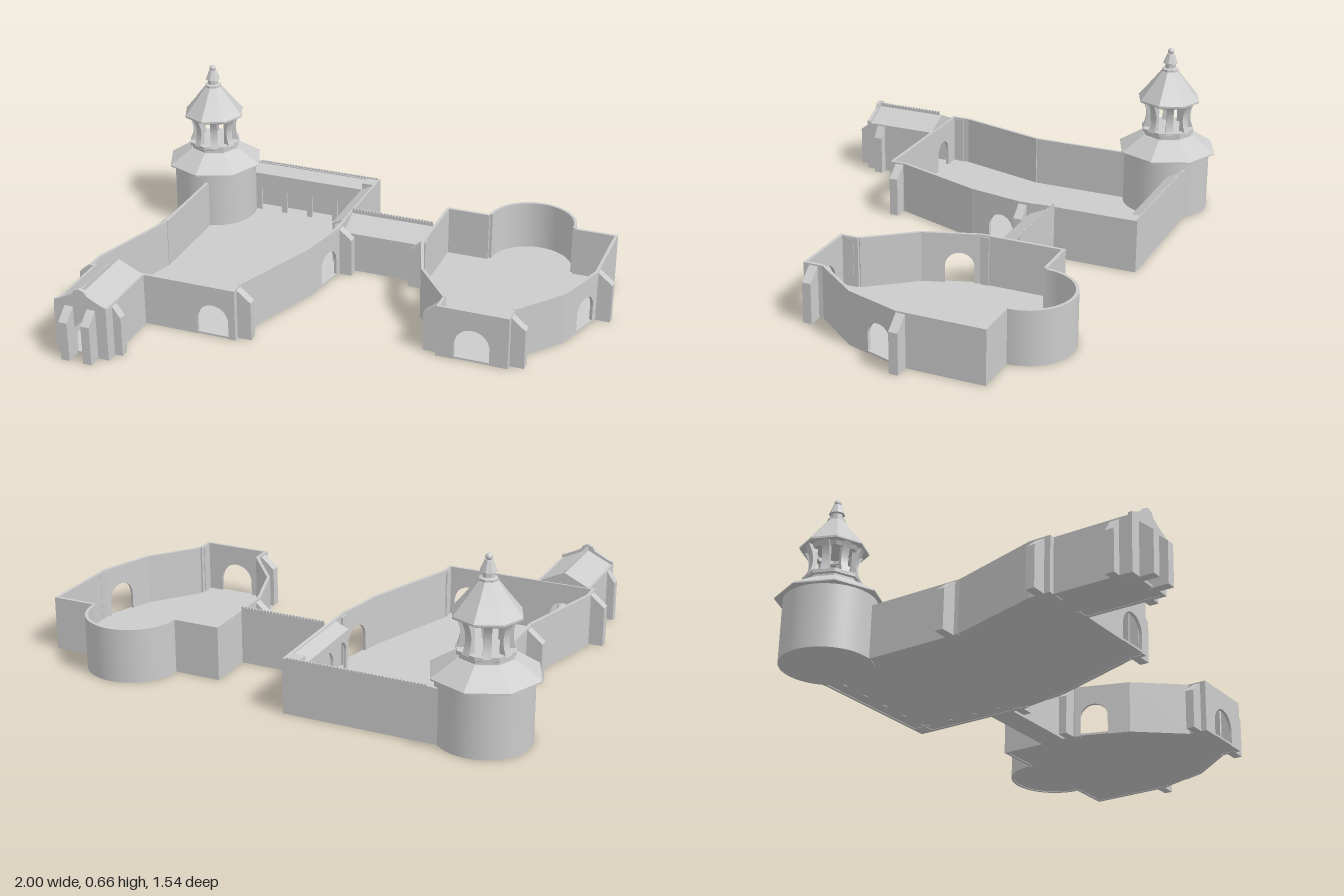
import * as THREE from 'three';
import { toCreasedNormals } from 'three/addons/utils/BufferGeometryUtils.js';

const mat = new THREE.MeshStandardMaterial({ color: 0xcccccc, side: THREE.DoubleSide });
const flat = new THREE.MeshStandardMaterial({ color: 0xcccccc, side: THREE.DoubleSide, flatShading: true });
const H = 0.206, T = 0.012;

function add(parent, name, geo, m = mat) {
  const mesh = new THREE.Mesh(geo, m);
  mesh.name = name;
  parent.add(mesh);
  return mesh;
}
const shapeOf = pts => new THREE.Shape(pts.map(p => new THREE.Vector2(p[0], p[1])));
const extrude = (shape, depth) =>
  new THREE.ExtrudeGeometry(shape, { depth, bevelEnabled: false, curveSegments: 14 });

// Wall from p to q (x, z), thickness to the inner side, arches as [distance, width, height]
function wall(parent, name, p, q, arches = [], h = H, t = T) {
  const dx = q[0] - p[0], dz = q[1] - p[1], L = Math.hypot(dx, dz);
  const s = new THREE.Shape();
  s.moveTo(0, 0);
  for (const [c, w, top] of arches) {
    const r = w / 2;
    s.lineTo(c - r, 0);
    s.lineTo(c - r, top - r);
    s.absarc(c, top - r, r, Math.PI, 0, true);
    s.lineTo(c + r, 0);
  }
  s.lineTo(L, 0);
  s.lineTo(L, h);
  s.lineTo(0, h);
  const m = add(parent, name, extrude(s, t));
  m.position.set(p[0], 0, p[1]);
  m.rotation.y = Math.atan2(-dz, dx);
}

// Horizontal slab from an outline in (x, z)
function slab(parent, name, outline, y, h) {
  const g = extrude(shapeOf(outline.map(([x, z]) => [x, -z])), h);
  add(parent, name, g.rotateX(-Math.PI / 2)).position.y = y;
}

// Buttress with a sloping top, standing out from (x, z) along the angle a
function buttress(parent, x, z, a, d = 0.055) {
  const g = extrude(shapeOf([[-0.015, 0], [d, 0], [d, 0.155], [0, 0.2], [-0.015, 0.2]]), 0.034);
  const m = add(parent, 'buttress', g.translate(0, 0, -0.017));
  m.position.set(x, 0, z);
  m.rotation.y = a;
}

// Toothed ridge crest running along local x
function crest(parent, x, y, z, length, rot, h = 0.016) {
  const n = Math.round(length / 0.013), step = length / n;
  const s = new THREE.Shape();
  s.moveTo(0, 0);
  for (let i = 0; i < n; i++) {
    s.lineTo(i * step, h * 0.5);
    s.lineTo((i + 0.25) * step, h);
    s.lineTo((i + 0.75) * step, h);
    s.lineTo((i + 1) * step, h * 0.5);
  }
  s.lineTo(length, 0);
  const m = add(parent, 'ridgeCrest', extrude(s, 0.006).translate(0, 0, -0.003));
  m.position.set(x, y, z);
  m.rotation.y = rot;
}

// Closed ring of walls; arches and gaps are keyed by segment index
function enclosure(parent, outline, arches, skip = []) {
  outline.forEach((p, i) => {
    if (!skip.includes(i)) wall(parent, 'wall', p, outline[(i + 1) % outline.length], arches[i]);
  });
  slab(parent, 'floor', outline, 0.002, 0.008);
}

function buildWestHall() {
  const g = new THREE.Group();
  g.name = 'westHall';
  enclosure(g, [[-0.77, -0.69], [-0.1, -0.69], [-0.1, -0.21], [-0.14, 0], [-0.27, 0.36],
    [-0.27, 0.42], [-0.87, 0.42], [-0.87, 0.34], [-0.77, -0.02]],
  { 2: [[0.077, 0.11, 0.13]], 5: [[0.09, 0.125, 0.13], [0.475, 0.1, 0.13]] });
  buttress(g, -0.775, -0.055, Math.PI);
  buttress(g, -0.87, 0.38, Math.PI);
  buttress(g, -0.27, 0.38, 0);
  buttress(g, -0.105, -0.23, 0);

  // Arcade with lean-to roofs along the back and right walls
  const row = (n, first, step) => Array.from({ length: n }, (_, i) => [first + i * step, 0.092, 0.145]);
  wall(g, 'backArcade', [-0.66, -0.638], [-0.155, -0.638], row(4, 0.09, 0.115), 0.175, 0.01);
  wall(g, 'sideArcade', [-0.15, -0.63], [-0.15, -0.29], row(3, 0.062, 0.11), 0.175, 0.01);
  const lean = [[0, 0.2], [0.063, 0.17], [0.063, 0.178], [0, 0.208]];
  const back = add(g, 'backArcadeRoof', extrude(shapeOf(lean), 0.56));
  back.rotation.y = -Math.PI / 2;
  back.position.set(-0.1, 0, -0.69);
  const side = add(g, 'sideArcadeRoof', extrude(shapeOf(lean), 0.4));
  side.rotation.y = Math.PI;
  side.position.set(-0.1, 0, -0.29);
  add(g, 'cornerPier', new THREE.BoxGeometry(0.05, H, 0.05)).position.set(-0.135, H / 2, -0.655);
  crest(g, -0.64, 0.2, -0.686, 0.53, 0, 0.013);
  return g;
}

function buildEastHall() {
  const g = new THREE.Group();
  g.name = 'eastHall';
  enclosure(g, [[0.24, -0.54], [0.42, -0.54], [0.77, -0.54], [0.94, -0.54], [0.94, -0.21], [0.87, 0],
    [0.73, 0.18], [0.73, 0.255], [0.455, 0.255], [0.455, 0.18], [0.31, 0], [0.24, -0.21]],
  { 4: [[0.078, 0.11, 0.13]], 7: [[0.1375, 0.135, 0.13]], 10: [[0.143, 0.11, 0.13]] }, [1]);
  for (const s of [-1, 1]) {
    const a = s > 0 ? 0 : Math.PI;
    buttress(g, 0.592 + s * 0.35, -0.23, a);
    buttress(g, 0.592 + s * 0.138, 0.215, a);
  }
  // Round apse
  const ring = new THREE.Shape();
  ring.absarc(0, 0, 0.176, 0, Math.PI, false);
  ring.absarc(0, 0, 0.164, Math.PI, 0, true);
  add(g, 'apseWall', toCreasedNormals(extrude(ring, H).rotateX(-Math.PI / 2), 0.5)).position.set(0.595, 0, -0.54);
  const half = new THREE.Shape().absarc(0, 0, 0.172, 0, Math.PI, false);
  add(g, 'apseFloor', extrude(half, 0.008).rotateX(-Math.PI / 2)).position.set(0.595, 0.002, -0.54);
  return g;
}

function buildPassage() {
  const g = new THREE.Group();
  g.name = 'passage';
  const profile = [[-0.26, 0], [-0.36, 0], [-0.36, 0.207], [-0.26, 0.163]];
  const body = add(g, 'passageBody', extrude(shapeOf(profile), 0.34));
  body.rotation.y = -Math.PI / 2;
  body.position.x = 0.24;
  crest(g, -0.1, 0.205, -0.358, 0.34, 0, 0.02);
  return g;
}

function buildPorch() {
  const g = new THREE.Group();
  g.name = 'porch';
  const cx = -0.745, w = 0.105;
  wall(g, 'porchSide', [cx + w, 0.41], [cx + w, 0.71]);
  wall(g, 'porchSide', [cx - w, 0.71], [cx - w, 0.41]);
  slab(g, 'porchFloor', [[cx - w, 0.41], [cx + w, 0.41], [cx + w, 0.71], [cx - w, 0.71]], 0.002, 0.008);
  add(g, 'porchRoof', extrude(shapeOf([[-w, 0.202], [w, 0.202], [0, 0.252]]), 0.295)).position.set(cx, 0, 0.415);
  // Gabled front with a narrow doorway
  const s = shapeOf([[-w, 0], [-0.028, 0], [-0.028, 0.11], [0, 0.14], [0.028, 0.11], [0.028, 0],
    [w, 0], [w, 0.215], [0.085, 0.222], [0.03, 0.25], [0.02, 0.266], [0, 0.274],
    [-0.02, 0.266], [-0.03, 0.25], [-0.085, 0.222], [-w, 0.215]]);
  add(g, 'porchGable', extrude(s, 0.014)).position.set(cx, 0, 0.703);
  crest(g, cx, 0.248, 0.705, 0.28, Math.PI / 2, 0.018);
  for (const k of [-1, 1]) {
    buttress(g, cx + k * 0.045, 0.715, -Math.PI / 2);
    buttress(g, cx + k * w, 0.652, k > 0 ? 0 : Math.PI, 0.032);
  }
  return g;
}

function buildTower() {
  const g = new THREE.Group();
  g.name = 'tower';
  const oct = (name, pts) =>
    add(g, name, new THREE.LatheGeometry(pts.map(p => new THREE.Vector2(p[0], p[1])), 8), flat);
  add(g, 'towerBase', new THREE.CylinderGeometry(0.17, 0.17, 0.25, 48)).position.y = 0.125;
  oct('skirtRoof', [[0, 0.24], [0.2, 0.242], [0.2, 0.247], [0.105, 0.308], [0, 0.308]]);
  oct('galleryFloor', [[0, 0.305], [0.1, 0.305], [0.1, 0.318], [0.108, 0.322], [0.108, 0.336], [0, 0.336]]);
  // Flared gallery posts
  const post = new THREE.Shape();
  post.moveTo(0.072, 0.33);
  post.lineTo(0.102, 0.33);
  post.quadraticCurveTo(0.07, 0.395, 0.112, 0.455);
  post.lineTo(0.072, 0.455);
  for (let i = 0; i < 8; i++) {
    const m = add(g, 'galleryPost', extrude(post, 0.028).translate(0, 0, -0.014));
    m.rotation.y = (i + 0.5) * Math.PI / 4;
  }
  oct('galleryBeam', [[0.07, 0.435], [0.095, 0.435], [0.105, 0.455], [0.07, 0.455], [0.07, 0.435]]);
  oct('spireRoof', [[0, 0.448], [0.126, 0.45], [0.126, 0.457], [0.08, 0.513], [0.034, 0.572], [0, 0.572]]);
  oct('spireLantern', [[0.034, 0.572], [0.034, 0.58], [0.022, 0.584], [0.022, 0.6], [0.03, 0.603],
    [0.014, 0.642], [0, 0.645]]);
  add(g, 'finial', new THREE.SphereGeometry(0.013, 16, 12)).position.y = 0.651;
  g.position.set(-0.8, 0, -0.57);
  return g;
}

export function createModel() {
  const model = new THREE.Group();
  model.name = 'walledHalls';
  model.add(buildWestHall(), buildEastHall(), buildPassage(), buildPorch(), buildTower());
  return model;
}
